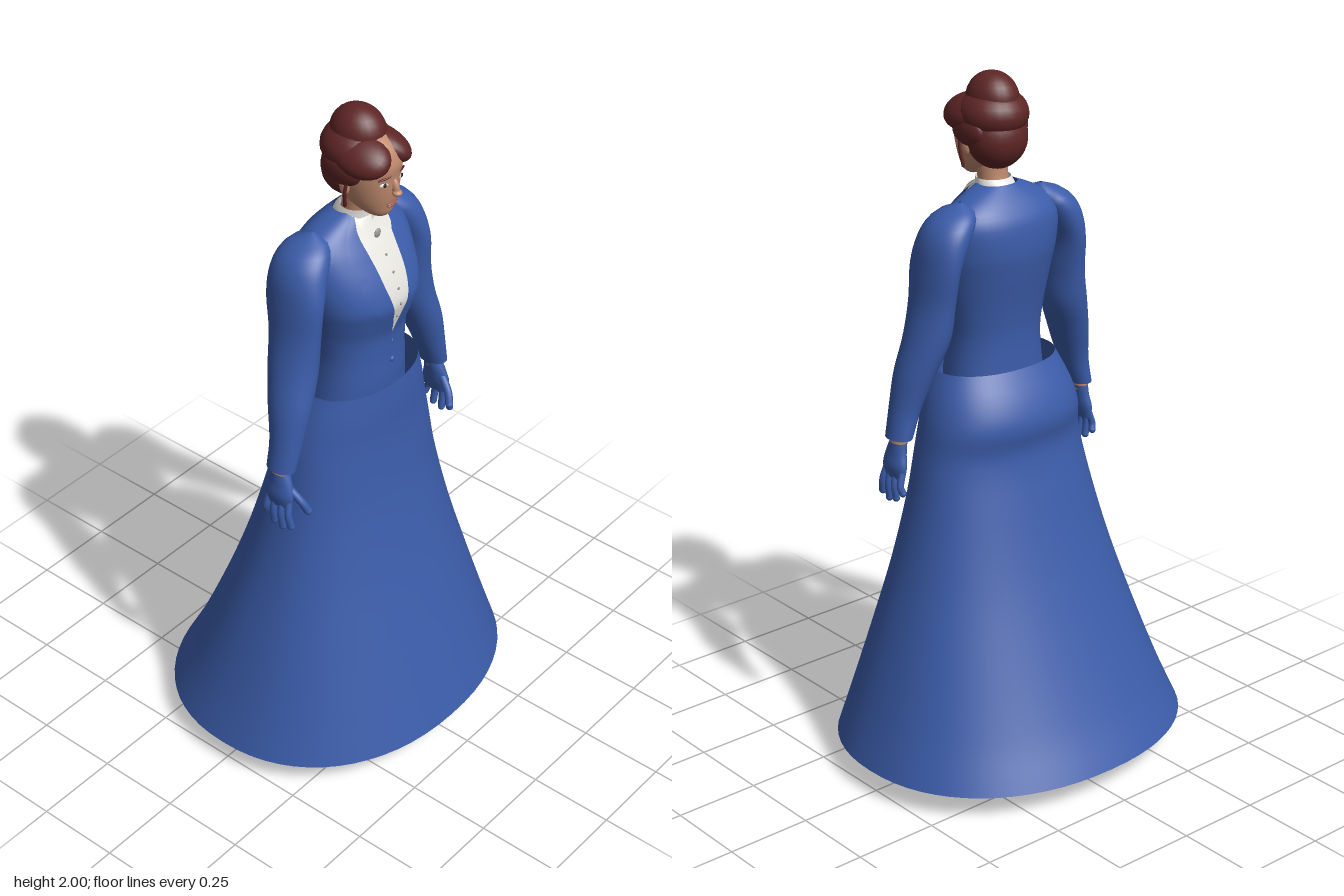
import * as THREE from 'three';

const mat = (name, color, side = THREE.FrontSide) => {
  const m = new THREE.MeshStandardMaterial({ color, side });
  m.name = name;
  return m;
};

// Smooth lookup in rows sorted by their first value
function sample(rows, t) {
  const last = rows.length - 1;
  let i = 0;
  while (i < last - 1 && t > rows[i + 1][0]) i++;
  const slope = (k, c) => {
    const a = rows[Math.max(k - 1, 0)], b = rows[Math.min(k + 1, last)];
    return (b[c] - a[c]) / (b[0] - a[0]);
  };
  const h = rows[i + 1][0] - rows[i][0];
  const u = THREE.MathUtils.clamp((t - rows[i][0]) / h, 0, 1), u2 = u * u, u3 = u2 * u;
  return rows[i].map((v, c) => c === 0 ? t
    : v * (2 * u3 - 3 * u2 + 1) + rows[i + 1][c] * (3 * u2 - 2 * u3)
    + h * (slope(i, c) * (u3 - 2 * u2 + u) + slope(i + 1, c) * (u3 - u2)));
}

function grid(nu, nv, point, wrap) {
  const pos = [], idx = [], cols = wrap ? nv : nv + 1;
  for (let i = 0; i <= nu; i++) for (let j = 0; j < cols; j++) pos.push(...point(i / nu, j / nv));
  for (let i = 0; i < nu; i++) for (let j = 0; j < nv; j++) {
    const a = i * cols + j, b = i * cols + (j + 1) % cols;
    idx.push(a, a + cols, b, b, a + cols, b + cols);
  }
  const g = new THREE.BufferGeometry();
  g.setAttribute('position', new THREE.Float32BufferAttribute(pos, 3));
  g.setIndex(idx);
  g.computeVertexNormals();
  return g;
}

// Loft of rounded rings; rows are [y, centre x, front z, back z, half width]
function loft(rows, side = 1, n = 2, steps = 36, seg = 40) {
  const y0 = rows[0][0], y1 = rows[rows.length - 1][0];
  const pw = (v) => Math.sign(v) * Math.abs(v) ** (2 / n);
  return grid(steps, seg, (u, v) => {
    const [y, cx, zf, zb, rx] = sample(rows, y0 + (y1 - y0) * u);
    const a = v * Math.PI * 2;
    return [side * cx + Math.max(rx, 0.001) * pw(Math.cos(a)), y, (zf + zb) / 2 + (zf - zb) / 2 * pw(Math.sin(a))];
  }, true);
}

function frontZ(rows, x, y, n = 2) {
  const [, , zf, zb, rx] = sample(rows, y);
  const k = Math.min(Math.abs(x) / rx, 1);
  return (zf + zb) / 2 + (zf - zb) / 2 * (1 - k ** n) ** (1 / n);
}

const TORSO = [
  [1.0, 0, 0.17, -0.05, 0.17], [1.18, 0, 0.185, -0.04, 0.148], [1.27, 0, 0.184, -0.038, 0.143],
  [1.34, 0, 0.187, -0.045, 0.152], [1.4, 0, 0.204, -0.055, 0.165], [1.45, 0, 0.216, -0.064, 0.176],
  [1.52, 0, 0.196, -0.073, 0.186], [1.6, 0, 0.152, -0.066, 0.186], [1.64, 0, 0.125, -0.045, 0.165],
  [1.67, 0, 0.108, -0.02, 0.118], [1.695, 0, 0.095, 0.005, 0.058]];
const SKIRT = [
  [0.07, 0, 0.44, -0.44, 0.52], [0.2, 0, 0.4, -0.372, 0.472], [0.4, 0, 0.34, -0.285, 0.405],
  [0.6, 0, 0.285, -0.21, 0.342], [0.8, 0, 0.242, -0.15, 0.29], [0.95, 0, 0.222, -0.116, 0.26],
  [1.03, 0, 0.216, -0.127, 0.247], [1.1, 0, 0.214, -0.106, 0.228], [1.18, 0, 0.208, -0.06, 0.196]];
const SLEEVE = [
  [1.02, 0.333, 0.125, 0.035, 0.033], [1.1, 0.31, 0.13, 0.03, 0.042], [1.2, 0.282, 0.135, 0.005, 0.054],
  [1.3, 0.25, 0.13, -0.02, 0.06], [1.4, 0.235, 0.13, -0.032, 0.052], [1.5, 0.226, 0.135, -0.048, 0.05],
  [1.57, 0.205, 0.125, -0.05, 0.06], [1.62, 0.178, 0.11, -0.04, 0.062], [1.65, 0.155, 0.085, -0.015, 0.045],
  [1.668, 0.145, 0.04, 0.03, 0.004]];
const HEAD = [
  [1.7, 0, 0.16, 0.14, 0.012], [1.712, 0, 0.175, 0.1, 0.034], [1.74, 0, 0.184, 0.045, 0.056],
  [1.78, 0, 0.192, 0.01, 0.072], [1.83, 0, 0.196, 0, 0.083], [1.87, 0, 0.198, 0, 0.084],
  [1.92, 0, 0.17, 0.01, 0.068], [1.96, 0, 0.09, 0.06, 0.015]];
// Foot rows run along z: [z, centre x, -bottom, -top, half width]
const FOOT = [
  [-0.086, 0.135, -0.07, -0.09, 0.006], [-0.07, 0.135, -0.05, -0.13, 0.036], [0, 0.135, -0.033, -0.14, 0.046],
  [0.06, 0.135, -0.01, -0.095, 0.054], [0.12, 0.135, 0, -0.062, 0.05], [0.152, 0.135, 0, -0.045, 0.032],
  [0.166, 0.135, -0.015, -0.028, 0.004]];
const BOOT = [[0.07, 0.135, 0.03, -0.07, 0.038], [0.16, 0.135, 0.015, -0.07, 0.038],
  [0.28, 0.132, 0.02, -0.08, 0.046], [0.36, 0.13, 0.025, -0.085, 0.05]];
const LEG = [[0.3, 0.13, 0.012, -0.075, 0.04], [0.42, 0.125, 0.025, -0.075, 0.046],
  [0.56, 0.115, 0.06, -0.03, 0.045], [0.8, 0.1, 0.11, -0.04, 0.07], [1.05, 0.085, 0.15, -0.05, 0.082]];

export function createModel() {
  const model = new THREE.Group();
  const blue = mat('blue cloth', 0x3b5ca9, THREE.DoubleSide);
  const white = mat('white linen', 0xe6e5e0, THREE.DoubleSide);
  const skin = mat('skin', 0xc08a6e);
  const hair = mat('auburn hair', 0x5e2525);
  const leather = mat('dark leather', 0x2a290f, THREE.DoubleSide);
  const lip = mat('lips', 0x9c5a50);
  const dark = mat('dark eyes', 0x2b1c18);
  const grey = mat('grey buttons', 0x9a9a98);

  const add = (name, geo, material, parent = model) => {
    const m = new THREE.Mesh(geo, material);
    m.name = name;
    parent.add(m);
    return m;
  };
  const ball = (name, material, p, s, r = [0, 0, 0], parent = model) => {
    const m = add(name, new THREE.SphereGeometry(1, 24, 16), material, parent);
    m.position.set(...p);
    m.scale.set(...s);
    m.rotation.set(...r);
    return m;
  };
  const rod = (name, material, pts, r, parent) => {
    const curve = new THREE.CatmullRomCurve3(pts.map((p) => new THREE.Vector3(...p)));
    add(name, new THREE.TubeGeometry(curve, 8, r, 10), material, parent);
    ball(name + 'Tip', material, pts[pts.length - 1], [r, r, r], [0, 0, 0], parent);
  };
  // Thin panel following the chest; rows are [y, inner x, outer x]
  const panel = (name, material, rows, side, lift) => {
    const y0 = rows[0][0], y1 = rows[rows.length - 1][0];
    add(name, grid(28, 10, (u, v) => {
      const y = y0 + (y1 - y0) * u;
      const [, a, b] = sample(rows, y);
      const x = a + (b - a) * v;
      return [side * x, y, frontZ(TORSO, x, y, 2.2) + lift];
    }), material);
  };

  // Clothes
  add('skirt', loft(SKIRT, 1, 2.2, 48, 64), blue);
  add('jacket', loft(TORSO, 1, 2.2, 48, 48), blue);
  panel('shirtFront', white, [[1.33, 0, 0.001], [1.42, -0.025, 0.025], [1.5, -0.045, 0.045],
    [1.6, -0.055, 0.055], [1.66, -0.062, 0.062], [1.694, -0.045, 0.045]], 1, 0.004);
  add('shirtCollar', loft([[1.65, 0, 0.115, -0.01, 0.06], [1.69, 0, 0.116, 0.005, 0.054],
    [1.708, 0, 0.118, 0.02, 0.05]], 1, 2, 8), white);
  for (let i = 0; i < 5; i++) {
    const y = 1.4 + i * 0.045;
    ball('shirtButton', grey, [0, y, frontZ(TORSO, 0, y) + 0.005], [0.004, 0.004, 0.003]);
  }
  ball('brooch', grey, [0, 1.635, frontZ(TORSO, 0, 1.635) + 0.01], [0.012, 0.014, 0.005]);
  for (const y of [1.24, 1.3]) ball('jacketButton', blue, [0.012, y, frontZ(TORSO, 0, y)], [0.009, 0.009, 0.006]);

  // Head and neck
  add('neck', loft([[1.64, 0, 0.105, 0, 0.046], [1.7, 0, 0.112, 0.025, 0.042], [1.78, 0, 0.13, 0.03, 0.045]]), skin);
  add('face', loft(HEAD), skin);
  ball('nose', skin, [0, 1.803, 0.194], [0.01, 0.028, 0.013], [-0.3, 0, 0]);
  ball('noseTip', skin, [0, 1.786, 0.202], [0.014, 0.009, 0.014]);
  ball('upperLip', lip, [0, 1.751, 0.186], [0.022, 0.004, 0.007]);
  ball('lowerLip', lip, [0, 1.744, 0.185], [0.018, 0.005, 0.007]);

  // Hair: nape, crown and top bun
  ball('backHair', hair, [0, 1.825, 0.052], [0.09, 0.092, 0.08], [0.15, 0, 0]);
  ball('crownHair', hair, [0, 1.885, 0.068], [0.098, 0.072, 0.1]);
  ball('topBun', hair, [0, 1.925, 0.07], [0.069, 0.075, 0.08]);

  for (const s of [1, -1]) {
    const label = s > 0 ? 'left' : 'right';
    // Swept hair lobe, side lock and ear
    ball(label + 'HairSweep', hair, [s * 0.044, 1.888, 0.115], [0.064, 0.043, 0.09], [0.15, 0, -s * 0.6]);
    ball(label + 'SideHair', hair, [s * 0.078, 1.845, 0.08], [0.023, 0.042, 0.062]);
    ball(label + 'Ear', skin, [s * 0.079, 1.8, 0.09], [0.01, 0.026, 0.016]);
    rod(label + 'SideLock', hair, [[s * 0.086, 1.83, 0.105], [s * 0.09, 1.79, 0.1], [s * 0.083, 1.745, 0.095]], 0.005, model);
    // Eyes and brows
    const ez = frontZ(HEAD, 0.034, 1.818);
    ball(label + 'Eye', white, [s * 0.034, 1.818, ez - 0.001], [0.014, 0.006, 0.004], [0, s * 0.35, 0]);
    ball(label + 'Iris', dark, [s * 0.034, 1.818, ez + 0.002], [0.006, 0.006, 0.003]);
    ball(label + 'Brow', hair, [s * 0.035, 1.838, frontZ(HEAD, 0.035, 1.838)], [0.02, 0.003, 0.004], [0, s * 0.35, -s * 0.12]);

    // Lapel and collar flap
    panel(label + 'Lapel', blue, [[1.29, 0, 0.004], [1.34, 0.004, 0.035], [1.42, 0.025, 0.075], [1.5, 0.045, 0.108],
      [1.53, 0.05, 0.115], [1.55, 0.052, 0.09], [1.57, 0.054, 0.115], [1.62, 0.06, 0.115], [1.66, 0.06, 0.09],
      [1.692, 0.045, 0.056]], s, 0.009);
    panel(label + 'CollarFlap', white, [[1.625, 0.036, 0.038], [1.65, 0.022, 0.055], [1.69, 0.004, 0.05]], s, 0.022);

    // Arm with gloved hand
    const arm = new THREE.Group();
    arm.name = label + 'Arm';
    model.add(arm);
    add('sleeve', loft(SLEEVE, s), blue, arm);
    add('wrist', loft([[0.995, 0.337, 0.105, 0.052, 0.021], [1.04, 0.332, 0.108, 0.05, 0.022]], s, 2, 4), skin, arm);
    add('palm', loft([[0.905, 0.347, 0.122, 0.042, 0.014], [0.94, 0.345, 0.13, 0.038, 0.021],
      [0.975, 0.34, 0.122, 0.046, 0.021], [1.008, 0.336, 0.108, 0.05, 0.022]], s, 2, 12), blue, arm);
    [[0.118, 0.13, 0.85], [0.096, 0.1, 0.838], [0.073, 0.07, 0.845], [0.05, 0.04, 0.868]].forEach(([z0, z1, y]) =>
      rod('finger', blue, [[s * 0.347, 0.925, z0], [s * 0.358, 0.885, (z0 + z1) / 2], [s * 0.354, y, z1]], 0.0105, arm));
    rod('thumb', blue, [[s * 0.338, 0.965, 0.11], [s * 0.325, 0.925, 0.145], [s * 0.314, 0.895, 0.158]], 0.0115, arm);

    // Leg and boot
    add(label + 'Leg', loft(LEG, s), skin);
    add(label + 'BootShaft', loft(BOOT, s), leather);
    add(label + 'BootFoot', loft(FOOT, s).rotateX(Math.PI / 2), leather);
  }
  return model;
}
